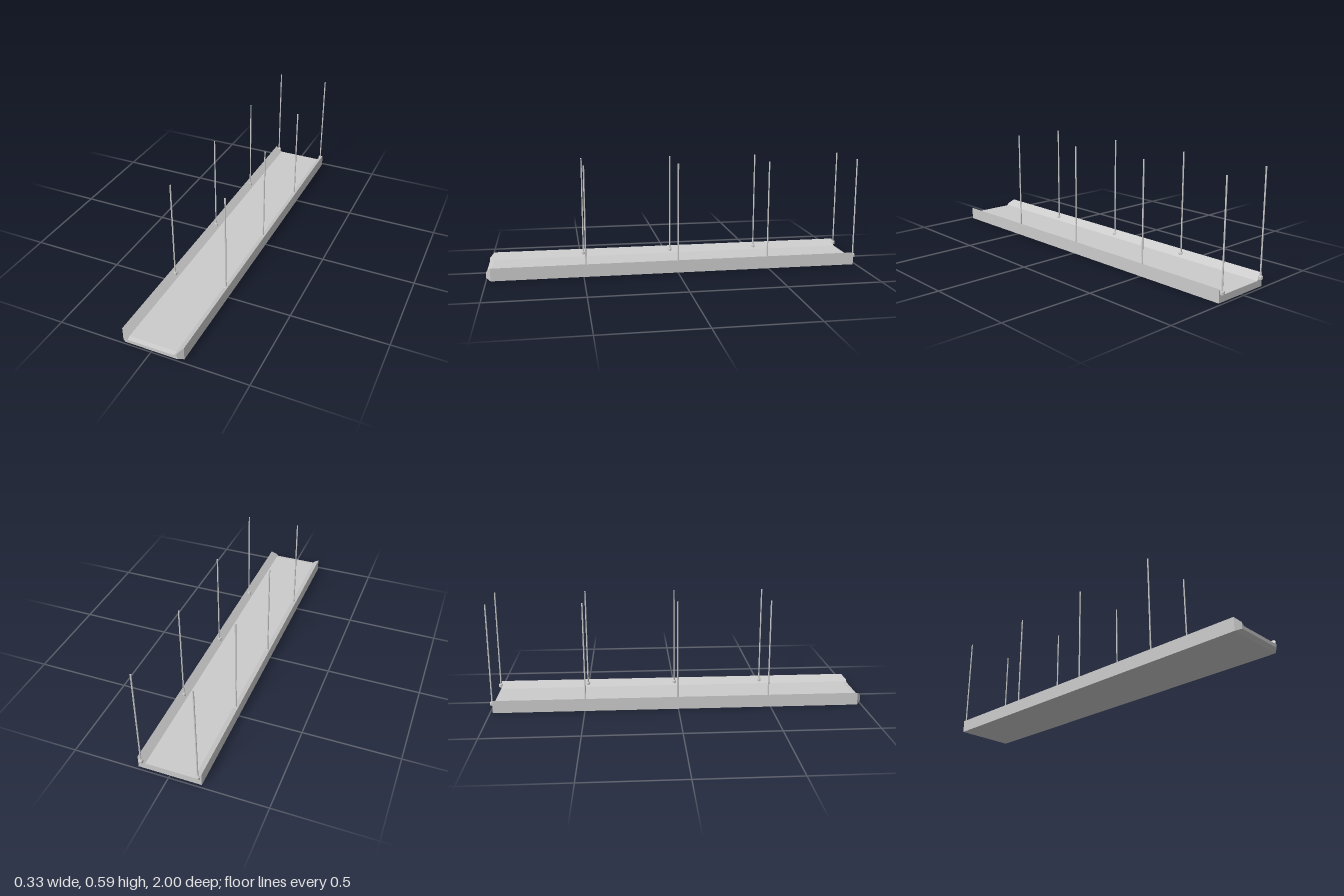
import * as THREE from 'three';

const grey = new THREE.MeshStandardMaterial({ color: 0xcccccc, flatShading: true });

// Tray section, counter-clockwise: bottom, rim and floor corners
const section = (z, halfWidth, bottom, rim, floorHalf, floor) => [
  [-halfWidth, bottom, z], [halfWidth, bottom, z], [halfWidth, rim, z],
  [floorHalf, floor, z], [-floorHalf, floor, z], [-halfWidth, rim, z],
];

function trayGeometry() {
  const rings = [
    section(-0.985, 0.163, 0, 0.068, 0.126, 0.034),
    section(0.977, 0.163, 0, 0.068, 0.126, 0.034),
    section(1, 0.137, 0.012, 0.044, 0.122, 0.03), // tapered nose
  ];
  const pos = [];
  const tri = (...pts) => pts.forEach((p) => pos.push(...p));
  // Skin between neighbouring sections
  for (let k = 0; k < rings.length - 1; k++) {
    const back = rings[k], front = rings[k + 1];
    for (let i = 0; i < 6; i++) {
      const j = (i + 1) % 6;
      tri(back[i], back[j], front[j]);
      tri(back[i], front[j], front[i]);
    }
  }
  // End caps
  const nose = rings[rings.length - 1], tail = rings[0];
  for (const [a, b, c] of [[0, 1, 3], [0, 3, 4], [1, 2, 3], [0, 4, 5]]) {
    tri(nose[a], nose[b], nose[c]);
    tri(tail[a], tail[c], tail[b]);
  }
  const geometry = new THREE.BufferGeometry();
  geometry.setAttribute('position', new THREE.Float32BufferAttribute(pos, 3));
  geometry.computeVertexNormals();
  return geometry;
}

// Upright cylinder between two heights
function post(name, radiusTop, radiusBottom, y0, y1, sides) {
  const geometry = new THREE.CylinderGeometry(radiusTop, radiusBottom, y1 - y0, sides);
  geometry.translate(0, (y0 + y1) / 2, 0);
  const mesh = new THREE.Mesh(geometry, grey);
  mesh.name = name;
  return mesh;
}

export function createModel() {
  const model = new THREE.Group();
  model.name = 'suspendedTray';

  const tray = new THREE.Mesh(trayGeometry(), grey);
  tray.name = 'tray';
  model.add(tray);

  // Four pairs of hanger rods, each seated in a collar on the sloped side
  for (const [side, x] of [['left', 0.146], ['right', -0.146]]) {
    for (let i = 0; i < 4; i++) {
      const hanger = new THREE.Group();
      hanger.name = `${side}Hanger${i + 1}`;
      hanger.add(
        post('rod', 0.004, 0.004, 0.04, 0.585, 8),
        post('collar', 0.012, 0.012, 0.04, 0.053, 8),
        post('collarTop', 0.009, 0.012, 0.053, 0.058, 8),
      );
      hanger.position.set(x, 0, -0.988 + i * 0.492);
      model.add(hanger);
    }
  }
  return model;
}
